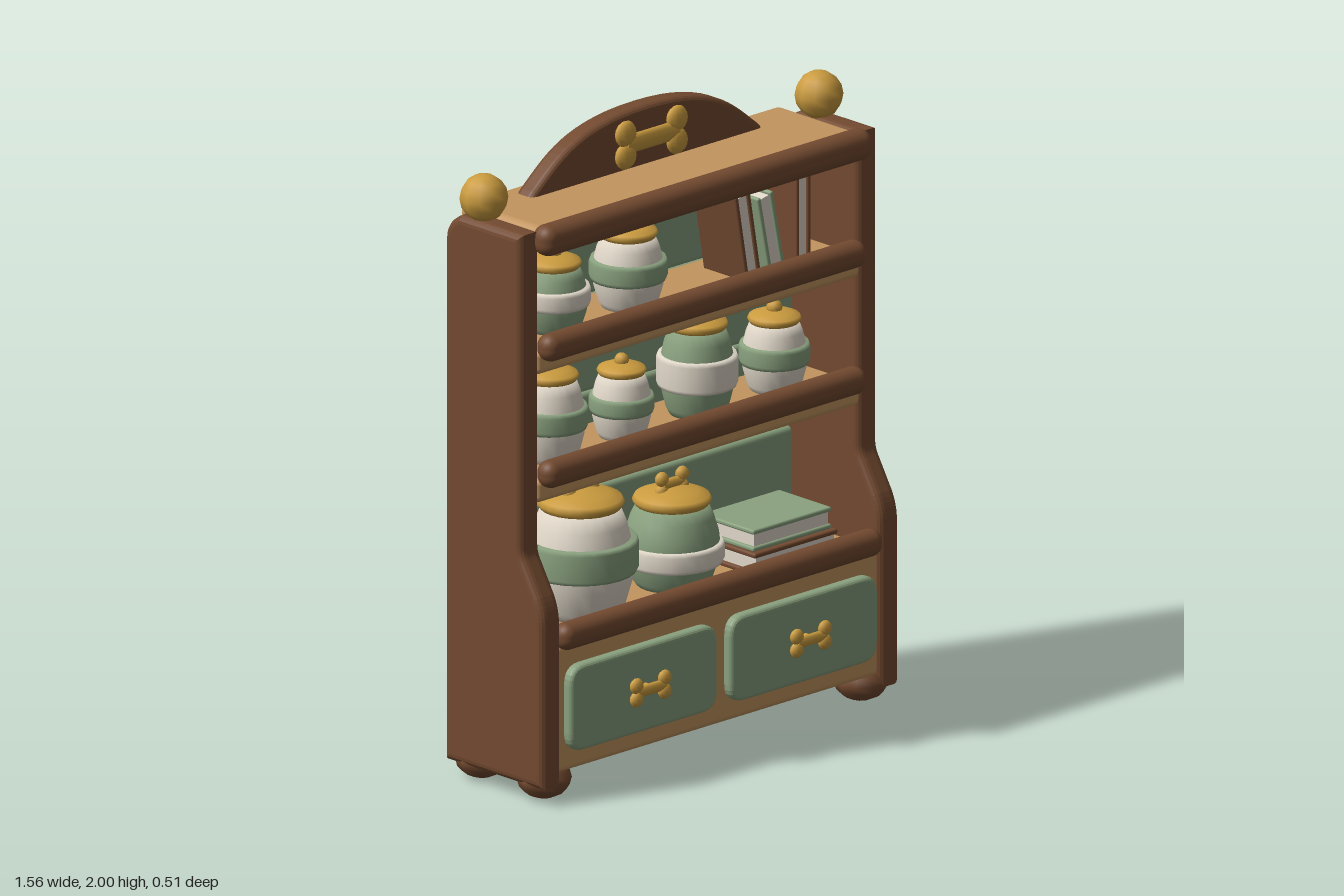
import * as THREE from 'three';
import { RoundedBoxGeometry } from 'three/addons/geometries/RoundedBoxGeometry.js';

const mat = (color) => new THREE.MeshStandardMaterial({ color });
const BROWN = mat(0x734a30), TAN = mat(0xc2955f), GREEN = mat(0x8aa27f), CREAM = mat(0xe2d9ca), GOLD = mat(0xcb9c3f);

export function createModel() {
  const root = new THREE.Group();
  root.name = 'displayCabinet';

  const add = (name, geometry, material, x = 0, y = 0, z = 0, parent = root) => {
    const m = new THREE.Mesh(geometry, material);
    m.name = name;
    m.position.set(x, y, z);
    parent.add(m);
    return m;
  };
  const group = (name, x, y, z, parent = root) => {
    const g = new THREE.Group();
    g.name = name;
    g.position.set(x, y, z);
    parent.add(g);
    return g;
  };
  // Rounded box given by its limits on y and z, centred on x
  const board = (name, w, y0, y1, z0, z1, r, material) =>
    add(name, new RoundedBoxGeometry(w, y1 - y0, z1 - z0, 3, r), material, 0, (y0 + y1) / 2, (z0 + z1) / 2);

  // Bone ornament lying along x: a bar and four knobs
  const bone = (name, x, y, z, half, r, parent = root, flat = 0.6) => {
    const g = group(name, x, y, z, parent);
    const cx = half - r;
    add('boneBar', new THREE.CylinderGeometry(r * 0.72, r * 0.72, cx * 2, 10).rotateZ(Math.PI / 2), GOLD, 0, 0, 0, g);
    for (const sx of [-1, 1]) for (const sy of [-1, 1])
      add('boneKnob', new THREE.SphereGeometry(r, 10, 8), GOLD, sx * cx, sy * r * 0.85, 0, g);
    g.scale.z = flat;
    return g;
  };

  // Side panels with a stepped front edge, feet and finials
  const b = 0.025;
  const side = new THREE.Shape();
  side.moveTo(0.195 - b, 0.055 + b);
  side.lineTo(0.195 - b, 0.58);
  side.quadraticCurveTo(0.195 - b, 0.615, 0.15, 0.655);
  side.lineTo(0.09, 0.755);
  side.quadraticCurveTo(0.1 - b, 0.78, 0.1 - b, 0.81);
  side.lineTo(0.1 - b, 1.81 - b);
  side.lineTo(-0.19 + b, 1.81 - b);
  side.quadraticCurveTo(-0.235 + b, 1.79 - b, -0.235 + b, 1.75 - b);
  side.lineTo(-0.235 + b, 0.055 + b);
  side.closePath();
  const sideGeo = new THREE.ExtrudeGeometry(side, {
    depth: 0.085 - 2 * b, bevelThickness: b, bevelSize: b, bevelSegments: 4, curveSegments: 6,
  });
  sideGeo.translate(0, 0, b - 0.0425).rotateY(-Math.PI / 2);
  for (const s of [-1, 1]) {
    const label = s > 0 ? 'left' : 'right';
    add(label + 'SidePanel', sideGeo, BROWN, s * 0.711, 0, 0);
    add(label + 'Finial', new THREE.SphereGeometry(0.075, 10, 8), GOLD, s * 0.705, 1.873, -0.11);
    for (const z of [0.115, -0.155])
      add(label + 'Foot', new THREE.SphereGeometry(0.086, 10, 8).scale(1, 0.7, 0.95), BROWN, s * 0.667, 0.062, z);
  }

  // Base, shelves and top board
  board('base', 1.36, 0.09, 0.5, -0.23, 0.18, 0.02, TAN);
  board('middleShelf', 1.36, 0.935, 1.01, -0.21, 0.1, 0.02, TAN);
  board('upperShelf', 1.36, 1.345, 1.42, -0.21, 0.1, 0.02, TAN);
  board('topBoard', 1.35, 1.73, 1.815, -0.255, 0.1, 0.03, TAN);

  // Back planks
  for (let i = 0; i < 4; i++)
    board('backPlank', 1.36, 0.49 + i * 0.31, 0.8 + i * 0.31, -0.235, -0.19, 0.018, GREEN);

  // Rounded front rails
  board('topRail', 1.385, 1.73, 1.828, 0.07, 0.157, 0.04, BROWN);
  board('upperRail', 1.35, 1.388, 1.475, 0.07, 0.15, 0.038, BROWN);
  board('middleRail', 1.35, 0.983, 1.07, 0.07, 0.15, 0.038, BROWN);
  board('bottomRail', 1.35, 0.482, 0.568, 0.14, 0.22, 0.038, BROWN);

  // Crest with its bone
  const crest = new THREE.Shape();
  crest.moveTo(-0.48, 1.8);
  crest.bezierCurveTo(-0.38, 1.87, -0.32, 1.98, 0, 1.98);
  crest.bezierCurveTo(0.32, 1.98, 0.38, 1.87, 0.48, 1.8);
  crest.closePath();
  add('crest', new THREE.ExtrudeGeometry(crest, {
    depth: 0.035, bevelThickness: 0.02, bevelSize: 0.02, bevelSegments: 4, curveSegments: 16,
  }), BROWN, 0, 0, -0.18);
  bone('crestBone', 0, 1.9, -0.11, 0.15, 0.042, root, 0.5);

  // Drawers with bone handles
  const w = 0.31, h = 0.1375, r = 0.06;
  const front = new THREE.Shape();
  front.moveTo(-w + r, -h);
  front.lineTo(w - r, -h);
  front.quadraticCurveTo(w, -h, w, -h + r);
  front.lineTo(w, h - r);
  front.quadraticCurveTo(w, h, w - r, h);
  front.lineTo(-w + r, h);
  front.quadraticCurveTo(-w, h, -w, h - r);
  front.lineTo(-w, -h + r);
  front.quadraticCurveTo(-w, -h, -w + r, -h);
  const frontGeo = new THREE.ExtrudeGeometry(front, {
    depth: 0.03, bevelThickness: 0.015, bevelSize: 0.015, bevelOffset: -0.015, bevelSegments: 4, curveSegments: 6,
  });
  for (const s of [-1, 1]) {
    const d = group('drawer', s * 0.337, 0.293, 0.167, root);
    add('drawerFront', frontGeo, GREEN, 0, 0, 0, d);
    add('handleStem', new THREE.CylinderGeometry(0.014, 0.014, 0.05, 8).rotateX(Math.PI / 2), GOLD, 0, 0.007, 0.05, d);
    bone('boneHandle', 0, 0.007, 0.07, 0.084, 0.025, d, 0.65);
  }

  // Lidded jars: [x, base y, z, body radius, lid height, band low, band high, body, band, bone knob]
  const jars = [
    [-0.48, 1.42, -0.04, 0.105, 1.622, 1.5, 1.56, GREEN, CREAM],
    [-0.165, 1.42, -0.04, 0.11, 1.645, 1.508, 1.575, CREAM, GREEN],
    [-0.495, 1.01, -0.04, 0.108, 1.265, 1.11, 1.18, CREAM, GREEN],
    [-0.193, 1.01, -0.04, 0.092, 1.213, 1.09, 1.145, CREAM, GREEN],
    [0.125, 1.01, -0.04, 0.115, 1.285, 1.1, 1.2, GREEN, CREAM],
    [0.45, 1.01, -0.04, 0.1, 1.228, 1.095, 1.16, CREAM, GREEN],
    [-0.39, 0.5, -0.015, 0.163, 0.838, 0.635, 0.74, CREAM, GREEN, true],
    [-0.005, 0.5, -0.015, 0.147, 0.758, 0.573, 0.64, GREEN, CREAM, true],
  ];
  const lathe = (pts) => new THREE.LatheGeometry(pts.map((p) => new THREE.Vector2(...p)), 24);
  for (const [x, y, z, R, lid, lo, hi, body, band, hasBone] of jars) {
    const g = group('jar', x, y, z);
    const H = lid - y, l = lo - y, u = hi - y, c = 0.012;
    add('jarBody', lathe([[0, 0], [R * 0.74, 0], [R * 0.84, H * 0.08], [R * 0.97, H * 0.3], [R, H * 0.5],
      [R * 0.97, H * 0.66], [R * 0.87, H * 0.85], [R * 0.74, H], [0, H]]), body, 0, 0, 0, g);
    add('jarBand', lathe([[R * 0.8, l], [R * 1.05, l], [R * 1.09, l + c], [R * 1.09, u - c], [R * 1.05, u], [R * 0.8, u]]),
      band, 0, 0, 0, g);
    const t = R * 0.27;
    add('jarLid', lathe([[0, -0.004], [R * 0.76, -0.004], [R * 0.83, t * 0.3], [R * 0.78, t * 0.65],
      [R * 0.55, t], [R * 0.25, t * 1.25], [0, t * 1.3]]), GOLD, 0, H, 0, g);
    if (hasBone) bone('lidBone', 0, H + t * 1.55, 0, R * 0.45, R * 0.16, g, 0.8);
    else add('lidKnob', new THREE.SphereGeometry(R * 0.25, 10, 8), GOLD, 0, H + t * 1.5, 0, g);
  }

  // Books: two covers, a spine at the back and a page block
  const book = (name, x, y, z, thick, height, depth, cover) => {
    const g = group(name, x, y, z);
    const c = thick * 0.22;
    add('pages', new THREE.BoxGeometry(thick - c, height - 0.02, depth - 0.015), CREAM, 0, 0, 0, g);
    for (const s of [-1, 1])
      add('cover', new RoundedBoxGeometry(c, height, depth, 2, c * 0.4), cover, s * (thick - c) / 2, 0, 0, g);
    add('spine', new RoundedBoxGeometry(thick, height, c, 2, c * 0.4), cover, 0, 0, -(depth - c) / 2, g);
    return g;
  };
  book('leaningBrownBook', 0.25, 1.563, -0.04, 0.064, 0.285, 0.19, BROWN).rotation.z = 0.17;
  book('leaningGreenBook', 0.352, 1.55, -0.04, 0.068, 0.26, 0.18, GREEN).rotation.z = 0.2;
  book('uprightBrownBook', 0.483, 1.563, -0.04, 0.06, 0.286, 0.19, BROWN);
  book('lyingBrownBook', 0.385, 0.537, 0, 0.074, 0.35, 0.25, BROWN).rotation.z = Math.PI / 2;
  book('lyingGreenBook', 0.378, 0.611, 0, 0.07, 0.33, 0.23, GREEN).rotation.z = Math.PI / 2;

  return root;
}
